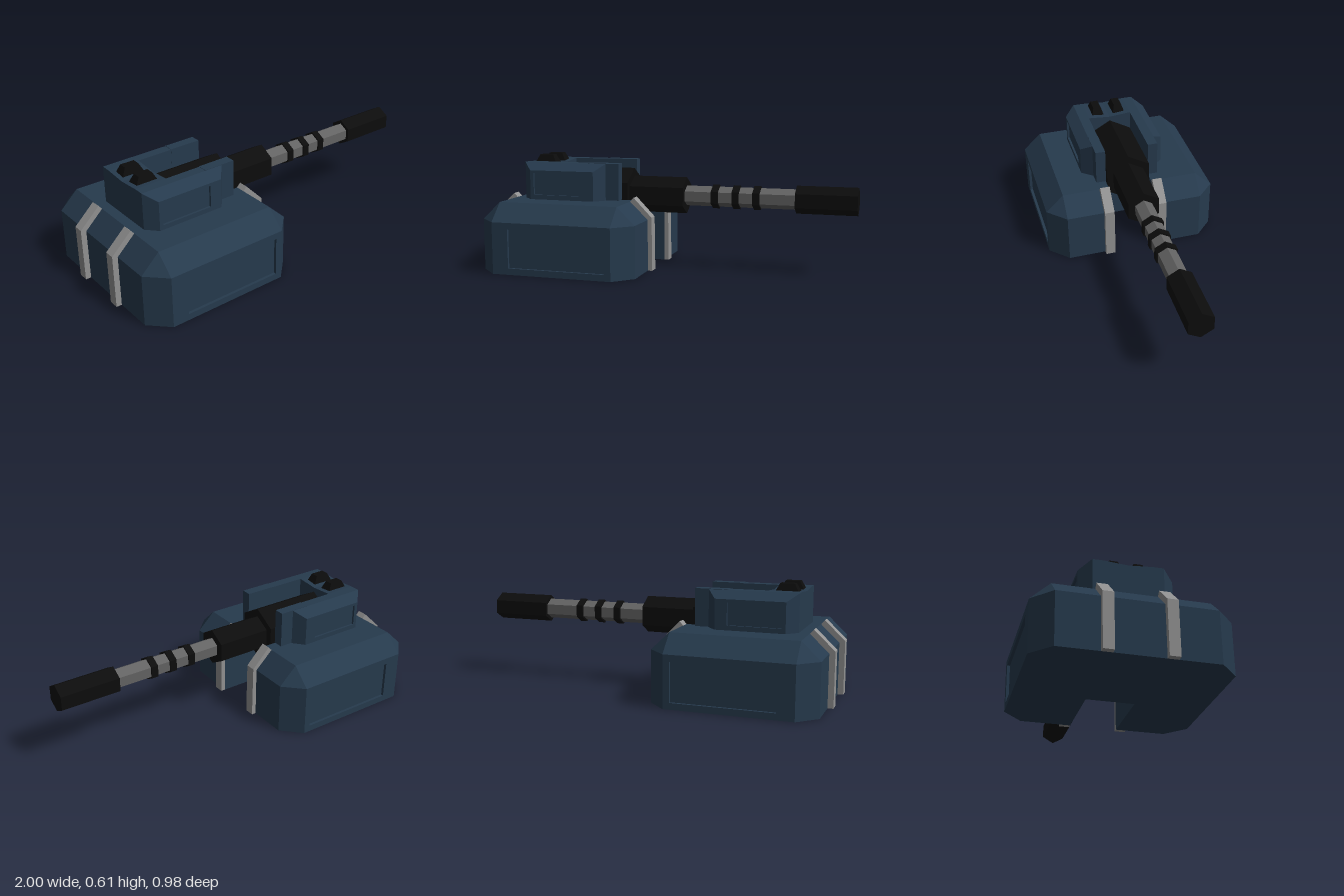
import * as THREE from 'three';

const blue = new THREE.MeshStandardMaterial({ color: 0x263a4d });
blue.name = 'navyArmour';
const black = new THREE.MeshStandardMaterial({ color: 0x0c0c0c });
black.name = 'blackMetal';
const grey = new THREE.MeshStandardMaterial({ color: 0x929292 });
grey.name = 'lightSteel';
const steel = new THREE.MeshStandardMaterial({ color: 0x636363 });
steel.name = 'barrelSteel';

const AXIS_Y = 0.397;

function addMesh(parent, name, geometry, material) {
  const g = geometry.index ? geometry.toNonIndexed() : geometry;
  g.computeVertexNormals();
  const m = new THREE.Mesh(g, material);
  m.name = name;
  parent.add(m);
  return m;
}

// Solid from planar faces of the +z half, mirrored to -z with reversed order
function mirroredSolid(faces) {
  const pos = [];
  for (const side of [1, -1]) {
    for (const face of faces) {
      const f = face.map(([x, y, z]) => [x, y, z * side]);
      if (side < 0) f.reverse();
      for (let i = 1; i < f.length - 1; i++) pos.push(...f[0], ...f[i], ...f[i + 1]);
    }
  }
  const g = new THREE.BufferGeometry();
  g.setAttribute('position', new THREE.Float32BufferAttribute(pos, 3));
  return g;
}

const shapeOf = (pts) => new THREE.Shape(pts.map(([x, y]) => new THREE.Vector2(x, y)));
const rect = (x0, y0, x1, y1) => [[x0, y0], [x1, y0], [x1, y1], [x0, y1]];

// Side wall with a recessed rectangular panel, on both sides
function recessedWalls(parent, name, outer, inner, z, depth) {
  const frame = shapeOf(rect(...outer));
  frame.holes.push(shapeOf(rect(...inner)));
  for (const side of [1, -1]) {
    const g = new THREE.ExtrudeGeometry(frame, { depth, bevelEnabled: false });
    g.translate(0, 0, side > 0 ? z - depth : -z);
    addMesh(parent, name + 'Frame', g, blue);
    const back = new THREE.PlaneGeometry(inner[2] - inner[0], inner[3] - inner[1]);
    if (side < 0) back.rotateY(Math.PI);
    back.translate((inner[0] + inner[2]) / 2, (inner[1] + inner[3]) / 2, side * (z - depth));
    addMesh(parent, name + 'Panel', back, blue);
  }
}

// Hexagonal bar along x with a corner pointing up
function hexBar(parent, name, x0, x1, r, material) {
  const g = new THREE.CylinderGeometry(r, r, x1 - x0, 6, 1, false, Math.PI / 2);
  g.rotateZ(-Math.PI / 2);
  g.translate((x0 + x1) / 2, AXIS_Y, 0);
  addMesh(parent, name, g, material);
}

function buildBase(parent) {
  const x0 = -0.97, xa = -0.87, xb = -0.2, x1 = -0.1, s = -0.45;
  const zs = 0.125, za = 0.39, zb = 0.49, h = 0.28, t = 0.375;
  addMesh(parent, 'baseHull', mirroredSolid([
    // walls and corner chamfers
    [[x0, 0, 0], [x0, 0, za], [x0, h, za], [x0, h, 0]],
    [[x0, 0, za], [xa, 0, zb], [xa, h, zb], [x0, h, za]],
    [[xb, 0, zb], [x1, 0, za], [x1, h, za], [xb, h, zb]],
    [[x1, 0, za], [x1, 0, zs], [x1, h, zs], [x1, h, za]],
    // sloped shoulders
    [[x1, h, za], [x1, h, zs], [xb, t, zs], [xb, t, za]],
    [[x0, h, za], [xa, h, zb], [xa, t, za]],
    [[xb, h, zb], [x1, h, za], [xb, t, za]],
    [[xa, h, zb], [xb, h, zb], [xb, t, za], [xa, t, za]],
    [[x0, h, 0], [x0, h, za], [xa, t, za], [xa, t, 0]],
    // top
    [[xa, t, 0], [xa, t, za], [s, t, za], [s, t, 0]],
    [[s, t, zs], [s, t, za], [xb, t, za], [xb, t, zs]],
    // underside
    [[x0, 0, 0], [s, 0, 0], [s, 0, za], [x0, 0, za]],
    [[s, 0, zs], [x1, 0, zs], [x1, 0, za], [s, 0, za]],
    [[x0, 0, za], [x1, 0, za], [xb, 0, zb], [xa, 0, zb]],
    // slot below the gun
    [[s, 0, zs], [s, t, zs], [xb, t, zs], [x1, h, zs], [x1, 0, zs]],
    [[s, 0, 0], [s, t, 0], [s, t, zs], [s, 0, zs]],
  ]), blue);
  recessedWalls(parent, 'baseSide', [xa, 0, xb, h], [-0.78, 0.035, -0.235, 0.245], zb, 0.015);
}

function buildTurret(parent) {
  const x0 = -0.815, xa = -0.76, xb = -0.39, x1 = -0.34, d = -0.64;
  const zs = 0.125, za = 0.18, zb = 0.24, b = 0.375, h = 0.535, t = 0.575, v = 0.565;
  addMesh(parent, 'turretShell', mirroredSolid([
    // outer walls
    [[x0, b, 0], [x0, b, za], [x0, t, za], [x0, t, zs], [x0, v, 0]],
    [[x0, b, za], [xa, b, zb], [xa, h, zb], [x0, t, za]],
    [[xb, b, zb], [x1, b, za], [x1, t, za], [xb, h, zb]],
    [[x1, b, za], [x1, b, zs], [x1, t, zs], [x1, t, za]],
    // roof slope, side roof and rear deck
    [[xa, h, zb], [xb, h, zb], [x1, t, za], [x0, t, za]],
    [[x0, t, zs], [x0, t, za], [x1, t, za], [x1, t, zs]],
    [[x0, v, 0], [x0, t, zs], [d, t, zs], [d, v, 0]],
    // gun well
    [[d, b, zs], [d, t, zs], [x1, t, zs], [x1, b, zs]],
    [[d, b, 0], [d, v, 0], [d, t, zs], [d, b, zs]],
  ]), blue);
  recessedWalls(parent, 'turretSide', [xa, b, xb, h], [-0.74, 0.4, -0.455, 0.52], zb, 0.012);

  for (const side of [1, -1]) {
    // cheek plates beside the gun
    const cheek = new THREE.BoxGeometry(0.175, 0.2, 0.056);
    cheek.translate(-0.3525, 0.477, side * 0.152);
    addMesh(parent, 'cheekPlate', cheek, blue);

    // tapered roof hatches
    const hatch = new THREE.CylinderGeometry(0.42, Math.SQRT1_2, 0.05, 4);
    hatch.rotateY(Math.PI / 4);
    hatch.scale(0.13, 1, 0.074);
    hatch.translate(-0.73, 0.585, side * 0.063);
    addMesh(parent, 'roofHatch', hatch, black);
  }
}

function buildClamps(parent) {
  const profiles = {
    frontClamp: [[-0.1, 0], [-0.075, 0], [-0.078, 0.292], [-0.18, 0.397], [-0.2, 0.375], [-0.1, 0.28]],
    rearClamp: [[-0.97, 0], [-0.97, 0.28], [-0.87, 0.375], [-0.89, 0.397], [-1, 0.292], [-1, 0]],
  };
  for (const [name, pts] of Object.entries(profiles)) {
    for (const side of [1, -1]) {
      const g = new THREE.ExtrudeGeometry(shapeOf(pts), { depth: 0.055, bevelEnabled: false });
      g.translate(0, 0, side * 0.1525 - 0.0275);
      addMesh(parent, name, g, grey);
    }
  }
}

function buildGun(parent) {
  hexBar(parent, 'breech', -0.64, -0.235, 0.143, black);
  hexBar(parent, 'barrelSleeve', -0.24, 0.07, 0.1, black);
  hexBar(parent, 'barrel', 0.06, 0.69, 0.055, steel);
  for (const x of [0.237, 0.352, 0.465]) hexBar(parent, 'barrelRing', x - 0.019, x + 0.019, 0.065, black);
  hexBar(parent, 'muzzle', 0.675, 1, 0.075, black);
}

export function createModel() {
  const model = new THREE.Group();
  model.name = 'gunTurret';
  const parts = { base: buildBase, clamps: buildClamps, turret: buildTurret, gun: buildGun };
  for (const [name, build] of Object.entries(parts)) {
    const group = new THREE.Group();
    group.name = name;
    build(group);
    model.add(group);
  }
  return model;
}
